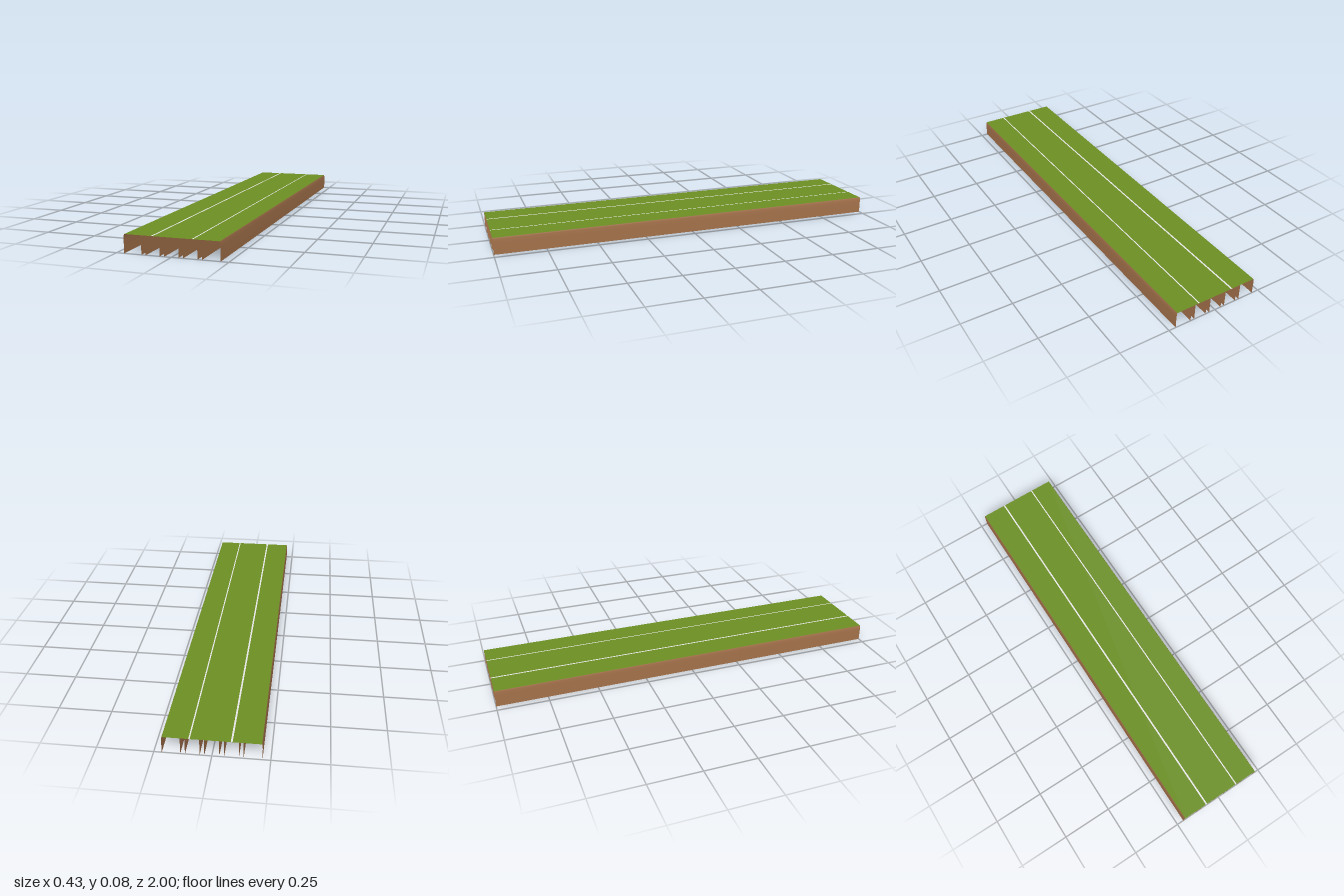
import * as THREE from 'three';

const LENGTH = 2, HALF_WIDTH = 0.215, TOP = 0.083;

const makeMaterial = (name, color, side = THREE.DoubleSide) => {
  const m = new THREE.MeshStandardMaterial({ color, side });
  m.name = name;
  return m;
};

// Sweeps an open [x, y] profile along the full length as a smooth sheet
function ribbon(profile) {
  const geometry = new THREE.PlaneGeometry(1, LENGTH, profile.length - 1, 1);
  const p = geometry.attributes.position;
  for (let i = 0; i < p.count; i++) {
    const [x, y] = profile[i % profile.length];
    p.setXYZ(i, x, y, -p.getY(i));
  }
  geometry.computeVertexNormals();
  return geometry;
}

export function createModel() {
  const group = new THREE.Group();
  const green = makeMaterial('grass green', 0x6b8e23);
  const brown = makeMaterial('earth brown', 0xa5724b);
  const white = makeMaterial('line white', 0xf5f5f5);

  const add = (name, profile, material) => {
    const mesh = new THREE.Mesh(ribbon(profile), material);
    mesh.name = name;
    group.add(mesh);
  };

  // Flat deck with two painted lengthwise lines
  add('deck', [[-HALF_WIDTH + 0.003, TOP], [HALF_WIDTH - 0.003, TOP]], green);
  for (const [x, w] of [[-0.085, 0.008], [0.095, 0.006]]) {
    add('paintedLine', [[x - w / 2, TOP + 0.001], [x + w / 2, TOP + 0.001]], white);
  }

  for (const s of [1, -1]) {
    // Outer walls with a softly rounded top edge, wound to face outward
    const wall = [
      [s * (HALF_WIDTH - 0.003), TOP],
      [s * (HALF_WIDTH - 0.001), TOP - 0.006],
      [s * HALF_WIDTH, TOP - 0.025],
      [s * HALF_WIDTH, 0],
    ];
    add('outerWall', s > 0 ? wall : wall.reverse(), brown);

    // Paired ribs under the deck
    for (const centre of [0.125, 0.042]) {
      for (const offset of [-0.01, 0.01]) {
        const x = s * (centre + offset);
        add('rib', s > 0 ? [[x, TOP - 0.001], [x, 0]] : [[x, 0], [x, TOP - 0.001]], brown);
      }
    }
  }
  return group;
}
